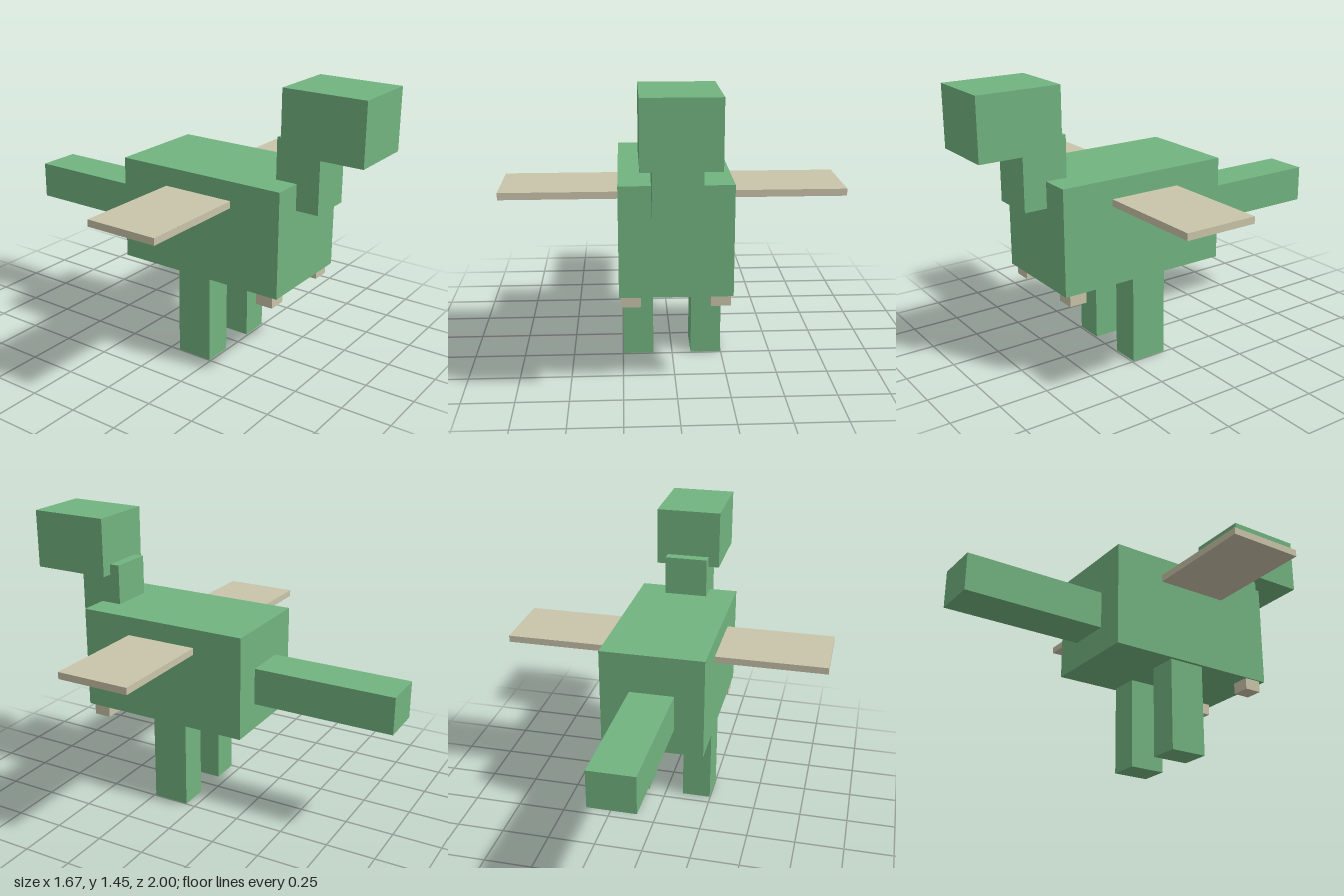
import * as THREE from 'three';

export function createModel() {
  const model = new THREE.Group();
  model.name = 'blockDragon';

  const green = new THREE.MeshStandardMaterial({ color: 0x72b37f });
  green.name = 'green skin';
  const tan = new THREE.MeshStandardMaterial({ color: 0xc9c4aa });
  tan.name = 'tan wing';

  // Box given by its [min, max] extent on each axis
  function block(name, material, [x0, x1], [y0, y1], [z0, z1]) {
    const mesh = new THREE.Mesh(new THREE.BoxGeometry(x1 - x0, y1 - y0, z1 - z0), material);
    mesh.position.set((x0 + x1) / 2, (y0 + y1) / 2, (z0 + z1) / 2);
    mesh.name = name;
    model.add(mesh);
  }

  // Left block and its mirrored right twin
  function pair(name, material, [x0, x1], y, z) {
    block('left' + name, material, [x0, x1], y, z);
    block('right' + name, material, [-x1, -x0], y, z);
  }

  // Trunk, neck, head and tail
  block('body', green, [-0.265, 0.265], [0.46, 0.992], [-0.273, 0.638]);
  block('neck', green, [-0.114, 0.114], [0.86, 1.2], [0.526, 0.755]);
  block('head', green, [-0.172, 0.172], [1.145, 1.45], [0.58, 1]);
  block('tail', green, [-0.114, 0.114], [0.595, 0.785], [-1, -0.27]);

  // Limbs: flat wings, hind legs and small front claws
  pair('Wing', tan, [0.26, 0.836], [0.86, 0.895], [-0.01, 0.37]);
  pair('Leg', green, [0.096, 0.247], [0, 0.47], [0.052, 0.241]);
  pair('Claw', tan, [0.163, 0.257], [0.402, 0.47], [0.52, 0.61]);

  return model;
}
